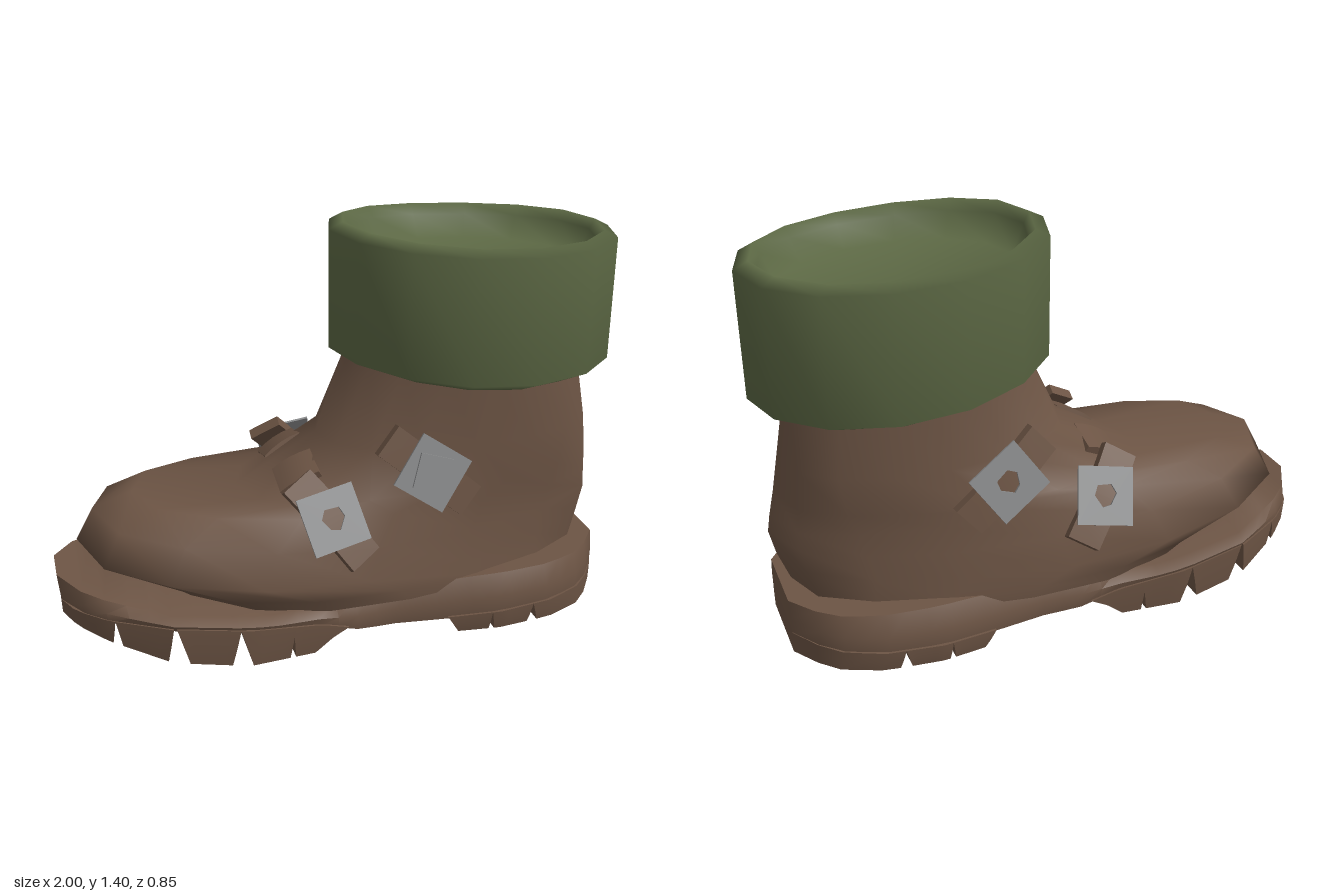
import * as THREE from 'three';
import { toCreasedNormals } from 'three/addons/utils/BufferGeometryUtils.js';

const mat = (name, color) => {
  const m = new THREE.MeshStandardMaterial({ color, side: THREE.DoubleSide });
  m.name = name;
  return m;
};

// linear interpolation in a list of [x, value] pairs
function table(pairs) {
  return x => {
    if (x <= pairs[0][0]) return pairs[0][1];
    for (let i = 1; i < pairs.length; i++) {
      const [xa, a] = pairs[i - 1], [xb, b] = pairs[i];
      if (x <= xb) return a + (b - a) * (x - xa) / (xb - xa);
    }
    return pairs[pairs.length - 1][1];
  };
}

// tilted rings: [frontX, frontY, backX, backY, frontHalfWidth, backHalfWidth, sag of the flanks]
function loft(rings, sides, power, cap) {
  const pos = [], index = [];
  rings.forEach(([fx, fy, bx, by, wf, wb, sag = 0]) => {
    for (let i = 0; i < sides; i++) {
      const a = i / sides * Math.PI * 2, s = Math.sin(a);
      const t = (1 - Math.cos(a)) / 2;
      const z = Math.sign(s) * Math.pow(Math.abs(s), power) * (wf + (wb - wf) * t);
      pos.push(fx + (bx - fx) * t, fy + (by - fy) * t - sag * s * s, z);
    }
  });
  for (let j = 0; j < rings.length - 1; j++) {
    for (let i = 0; i < sides; i++) {
      const k = (i + 1) % sides, a = j * sides, b = a + sides;
      index.push(a + i, a + k, b + i, a + k, b + k, b + i);
    }
  }
  if (cap) {
    const last = (rings.length - 1) * sides, r = rings[rings.length - 1];
    pos.push((r[0] + r[2]) / 2, (r[1] + r[3]) / 2, 0);
    for (let i = 0; i < sides; i++) index.push(last + i, last + (i + 1) % sides, pos.length / 3 - 1);
  }
  const g = new THREE.BufferGeometry();
  g.setAttribute('position', new THREE.Float32BufferAttribute(pos, 3));
  g.setIndex(index);
  g.computeVertexNormals();
  return g;
}

// plan half-width and side profile of the sole
const soleWidth = table([[-1, 0.08], [-0.95, 0.19], [-0.85, 0.28], [-0.65, 0.385], [-0.4, 0.41],
  [0.1, 0.36], [0.5, 0.4], [0.7, 0.375], [0.84, 0.31], [0.93, 0.21], [0.96, 0.15]]);
const soleTop = table([[-1, 0.26], [-0.65, 0.2], [-0.3, 0.16], [0, 0.17], [0.45, 0.2], [0.96, 0.2]]);
const soleBase = table([[-1, 0.17], [-0.64, 0.16], [-0.4, 0.13], [-0.15, 0.1], [0, 0.055], [0.33, 0.055], [0.96, 0.07]]);
const lugBottom = table([[-1, 0.135], [-0.66, 0.04], [-0.4, 0], [1, 0]]);

// slab following the sole outline; top runs x0..x1, bottom runs b0..b1,
// scales are the widths at the bottom, middle and top
function slab(x0, x1, b0, b1, top, bottom, segments, scales) {
  const g = new THREE.BoxGeometry(1, 1, 1, segments, 2, 1), p = g.attributes.position;
  for (let i = 0; i < p.count; i++) {
    const v = p.getY(i) + 0.5, u = p.getX(i) + 0.5;
    const low = b0 + (b1 - b0) * u, high = x0 + (x1 - x0) * u;
    const x = low + (high - low) * v;
    const y = bottom(x) + (top(x) - bottom(x)) * v;
    p.setXYZ(i, x, y, p.getZ(i) * 2 * soleWidth(x) * scales[Math.round(v * 2)]);
  }
  return toCreasedNormals(g, 0.9);
}

// square frame plate with a rough hole
function buckleGeometry() {
  const s = new THREE.Shape([[-0.1, -0.1], [0.1, -0.1], [0.1, 0.1], [-0.1, 0.1]].map(p => new THREE.Vector2(...p)));
  s.holes.push(new THREE.Path([[-0.04, 0.01], [-0.02, 0.04], [0.03, 0.035], [0.04, 0], [0.01, -0.04], [-0.02, -0.03]]
    .map(p => new THREE.Vector2(...p))));
  return new THREE.ExtrudeGeometry(s, { depth: 0.008, bevelEnabled: false });
}

// short band, bowed outward in the middle
function strapGeometry(length, width, bow) {
  const g = new THREE.BoxGeometry(length, width, 0.04, 4, 1, 1), p = g.attributes.position;
  for (let i = 0; i < p.count; i++) {
    const u = p.getX(i) / length * 2;
    p.setZ(i, p.getZ(i) + bow * (1 - u * u));
  }
  return toCreasedNormals(g, 0.7);
}

export function createModel() {
  const model = new THREE.Group();
  model.name = 'boot';
  const leather = mat('brown leather', 0x6c5444);
  const cloth = mat('green cloth', 0x5c6844);
  const metal = mat('grey metal', 0x8a8b8c);
  const add = (name, geometry, material, parent = model) => {
    const m = new THREE.Mesh(geometry, material);
    m.name = name;
    parent.add(m);
    return m;
  };

  // foot and ankle
  add('upper', loft([
    [-0.56, 0.15, 0.9, 0.16, 0.44, 0.31],
    [-0.65, 0.21, 0.92, 0.2, 0.45, 0.31, 0.01],
    [-0.92, 0.35, 0.96, 0.31, 0.47, 0.3, 0.08],
    [-0.86, 0.46, 0.98, 0.4, 0.41, 0.3, 0.07],
    [-0.72, 0.51, 0.97, 0.46, 0.345, 0.305, 0.02],
    [-0.36, 0.49, 0.95, 0.55, 0.31, 0.315],
    [-0.07, 0.66, 0.925, 0.68, 0.28, 0.315],
    [0.06, 0.95, 0.88, 0.9, 0.29, 0.3],
  ], 16, 0.78), leather);

  // folded cuff closed by a shallow hollow
  add('cuff', loft([
    [0.06, 0.93, 0.89, 0.855, 0.31, 0.31, 0.025],
    [-0.02, 0.965, 1, 0.9, 0.38, 0.38, 0.03],
    [-0.02, 1.375, 1, 1.33, 0.395, 0.395, 0.015],
    [0.03, 1.4, 0.95, 1.355, 0.365, 0.365, 0.015],
    [0.05, 1.36, 0.93, 1.32, 0.34, 0.34, 0.015],
    [0.09, 1.26, 0.89, 1.23, 0.31, 0.31],
  ], 14, 0.94, true), cloth);

  // sole and tread
  const sole = new THREE.Group();
  sole.name = 'sole';
  model.add(sole);
  add('soleBase', slab(-1, 0.96, -0.99, 0.96, soleTop, soleBase, 28, [0.98, 1, 0.9]), leather, sole);
  add('shank', slab(-0.08, 0.36, -0.08, 0.36, () => 0.1, () => 0.015, 4, [0.7, 0.7, 0.7]), leather, sole);
  const lugs = [[-0.99, -0.83, -0.99, -0.84], [-0.83, -0.65, -0.81, -0.67], [-0.64, -0.43, -0.6, -0.46],
    [-0.43, -0.24, -0.39, -0.26], [-0.25, -0.05, -0.24, -0.17], [0.31, 0.47, 0.35, 0.46],
    [0.47, 0.63, 0.48, 0.61], [0.63, 0.96, 0.65, 0.96]];
  for (const [x0, x1, b0, b1] of lugs) {
    add('treadLug', slab(x0, x1, b0, b1, x => soleBase(x) + 0.01, lugBottom, 5, [0.98, 1, 1.005]), leather, sole);
  }

  // straps and buckles on both flanks
  const buckle = buckleGeometry();
  const fastenings = [
    { x: -0.1, y: 0.465, z: 0.32, tilt: 0.53, spin: 0.22, strap: -0.96, length: 0.35 },
    { x: 0.245, y: 0.605, z: 0.31, tilt: 0.2, spin: -0.6, strap: -0.7, length: 0.37 },
  ];
  for (const side of [1, -1]) {
    fastenings.forEach((f, i) => {
      const g = new THREE.Group();
      g.name = 'fastening';
      g.position.set(f.x, f.y, f.z * side);
      g.rotation.x = -f.tilt * side;
      model.add(g);
      const strap = add('strap', strapGeometry(f.length, 0.12, 0.015 * side), leather, g);
      strap.rotation.z = f.strap;
      const frame = add('buckle', buckle, metal, g);
      frame.position.z = side * 0.045 - 0.004;
      frame.rotation.z = f.spin;
      if (i === 1 && side === 1) {
        const plate = add('bucklePlate', new THREE.BoxGeometry(0.12, 0.12, 0.008), metal, g);
        plate.position.z = 0.053;
        plate.rotation.z = f.spin + 0.3;
      }
    });
    // loose strap end over the instep
    const end = add('strapEnd', strapGeometry(0.15, 0.13, 0.01), leather);
    end.position.set(-0.165, 0.56, 0.125 * side);
    end.rotation.set(-Math.PI / 2 + 0.25 * side, -0.5, 0);
  }
  return model;
}
